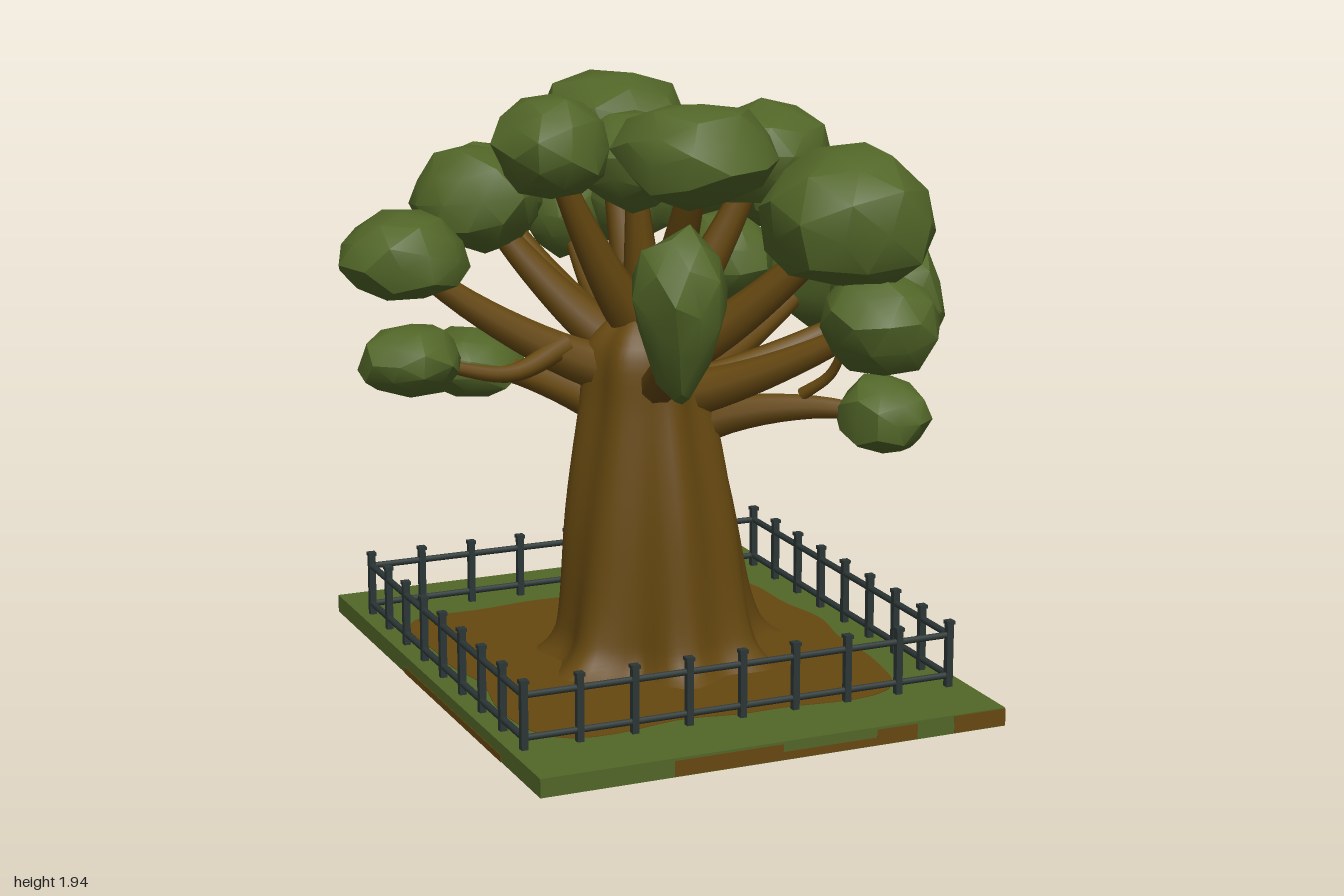
import * as THREE from 'three';
import { mergeVertices, toCreasedNormals } from 'three/addons/utils/BufferGeometryUtils.js';

const mat = (name, color) => Object.assign(new THREE.MeshStandardMaterial({ color }), { name });

function group(parent, name) {
  const g = new THREE.Group();
  g.name = name;
  parent.add(g);
  return g;
}

function add(parent, name, geo, material, x = 0, y = 0, z = 0) {
  const m = new THREE.Mesh(geo, material);
  m.name = name;
  m.position.set(x, y, z);
  parent.add(m);
}

// weld a geometry so it can be shaped by a rule and shaded smoothly
function weld(geo) {
  geo.deleteAttribute('uv');
  geo.deleteAttribute('normal');
  return mergeVertices(geo, 1e-4);
}

// small seeded random source
function seeded(seed) {
  let s = seed * 7919 + 17;
  return () => (s = (s * 16807) % 2147483647) / 2147483647;
}

// chunky leaf clump of given half width and half height; taper narrows the underside
function clumpGeometry(width, height, seed, taper) {
  const rnd = seeded(seed);
  for (let i = 0; i < 5; i++) rnd();
  const geo = weld(new THREE.IcosahedronGeometry(1, 1));
  geo.rotateY(rnd() * 6).rotateX(rnd() * 2);
  const p = geo.attributes.position, v = new THREE.Vector3();
  for (let i = 0; i < p.count; i++) {
    v.fromBufferAttribute(p, i).multiplyScalar(0.93 + rnd() * 0.16);
    const k = 1 - taper * Math.max(0, 0.3 - v.y);
    p.setXYZ(i, v.x * k, v.y, v.z * k);
  }
  geo.center();
  const b = geo.boundingBox.getSize(v).multiplyScalar(0.5);
  geo.scale(width / b.x, height / b.y, width * 1.06 / b.z);
  geo.center();
  return toCreasedNormals(geo, 0.62);
}

// tapered limb along a smooth path
function limbGeometry(points, r0, r1) {
  const curve = new THREE.CatmullRomCurve3(points.map((p) => new THREE.Vector3(...p)));
  const n = 14, sides = 9;
  const geo = new THREE.TubeGeometry(curve, n, 1, sides, false);
  const p = geo.attributes.position, v = new THREE.Vector3();
  for (let i = 0; i <= n; i++) {
    const c = curve.getPointAt(i / n), r = r0 + (r1 - r0) * Math.pow(i / n, 0.7);
    for (let j = 0; j <= sides; j++) {
      const k = i * (sides + 1) + j;
      v.fromBufferAttribute(p, k).sub(c).multiplyScalar(r).add(c);
      p.setXYZ(k, v.x, v.y, v.z);
    }
  }
  return geo;
}

// limb path from the trunk to a clump: low limbs arch up, high ones sag a little
function limbPath(x, y, z) {
  const start = 0.45 + 0.37 * y;
  const bend = THREE.MathUtils.clamp(0.3 * (1.1 - y), -0.06, 0.07);
  return [0, 0.35, 0.7, 1].map((t) => [x * t, start + (y - start) * t + bend * Math.sin(Math.PI * t), z * t]);
}

// fluted trunk with flared roots
function trunkGeometry() {
  const profile = new THREE.SplineCurve([[0.4, 0.05], [0.34, 0.11], [0.31, 0.22], [0.27, 0.55], [0.21, 0.9],
    [0.17, 1.12], [0.01, 1.26]].map((p) => new THREE.Vector2(...p)));
  const geo = weld(new THREE.CylinderGeometry(1, 1, 1, 56, 30, true));
  const p = geo.attributes.position;
  for (let i = 0; i < p.count; i++) {
    const { x: r, y } = profile.getPoint(p.getY(i) + 0.5);
    const a = Math.atan2(p.getZ(i), p.getX(i));
    const flute = 0.08 + 0.13 * Math.exp(-(y - 0.05) * 9);
    const R = r * (1 + flute * (Math.cos(7 * a + y * 1.6) * 0.7 + Math.cos(4 * a - y * 2 + 1) * 0.4));
    p.setXYZ(i, 0.035 - 0.05 * y + R * Math.cos(a), y, 0.01 + R * Math.sin(a));
  }
  geo.computeVertexNormals();
  return geo;
}

// thin soil patch: a wobbly-edged rectangle in the ground plane
function patchGeometry(halfX, halfZ, wobble) {
  const shape = new THREE.Shape(Array.from({ length: 80 }, (_, i) => {
    const a = i / 80 * Math.PI * 2, c = Math.cos(a), s = Math.sin(a);
    const k = Math.pow(c ** 8 + s ** 8, -1 / 8) * (1 + wobble * (Math.sin(5 * a + 1) + 0.6 * Math.sin(11 * a)));
    return new THREE.Vector2(halfX * c * k, halfZ * s * k);
  }));
  return new THREE.ExtrudeGeometry(shape, { depth: 0.003, bevelEnabled: false }).rotateX(-Math.PI / 2);
}

export function createModel() {
  const model = new THREE.Group();
  model.name = 'fencedTree';
  const leaf = mat('leaf green', 0x526628), bark = mat('bark brown', 0x664810), iron = mat('iron grey', 0x2c3636);

  // ground slab with bare soil on top, underneath and along the edges
  const ground = group(model, 'ground');
  add(ground, 'grassSlab', new THREE.BoxGeometry(1.56, 0.06, 1.95), leaf, 0.01, 0.033, 0);
  add(ground, 'soilTop', patchGeometry(0.65, 0.67, 0.025), bark, -0.01, 0.062, 0.03);
  add(ground, 'soilUnderside', patchGeometry(0.7, 0.87, 0.012), bark, -0.03, 0.001, 0.06);
  for (const [x, w, h] of [[-0.16, 0.36, 0.05], [0.2, 0.4, 0.025], [0.41, 0.14, 0.05], [0.7, 0.18, 0.055]])
    add(ground, 'soilFrontEdge', new THREE.BoxGeometry(w, h, 0.004), bark, x, 0.005 + h / 2, 0.975);
  add(ground, 'soilLeftEdge', new THREE.BoxGeometry(0.004, 0.045, 0.05), bark, 0.79, 0.03, 0.95);
  add(ground, 'soilRightEdge', new THREE.BoxGeometry(0.004, 0.022, 0.9), bark, -0.77, 0.014, 0.2);

  // fence: four equal sides of posts joined by two rails
  const fence = group(model, 'fence');
  const half = 0.725;
  const post = new THREE.BoxGeometry(0.022, 0.22, 0.022), cap = new THREE.BoxGeometry(0.028, 0.012, 0.028);
  const rail = new THREE.CylinderGeometry(0.011, 0.011, half * 2, 8).rotateZ(Math.PI / 2);
  for (let s = 0; s < 4; s++) {
    const side = group(fence, 'fenceSide');
    side.rotation.y = s * Math.PI / 2;
    for (let i = 0; i < 8; i++) {
      const x = half * (i / 4 - 1);
      add(side, 'post', post, iron, x, 0.165, half);
      add(side, 'postCap', cap, iron, x, 0.277, half);
    }
    for (const y of [0.1, 0.235]) add(side, 'rail', rail, iron, 0, y, half);
  }

  // trunk, and two twigs that fork from the lower limbs
  const wood = group(model, 'wood');
  add(wood, 'trunk', trunkGeometry(), bark);
  add(wood, 'twig', limbGeometry([[-0.28, 1.11, -0.04], [-0.49, 1.05, 0.02], [-0.74, 1.1, 0]], 0.045, 0.018), bark);
  add(wood, 'twig', limbGeometry([[0.42, 0.95, 0.27], [0.48, 1.02, 0.34], [0.5, 1.12, 0.4]], 0.022, 0.014), bark);

  // leaf clumps, each carried by its own limb
  const crown = group(model, 'crown');
  let seed = 3;
  const clump = (x, y, z, width, height, taper = 0) =>
    add(crown, 'leafClump', clumpGeometry(width, height, seed++, taper), leaf, x, y, z);
  const limbed = (x, y, z, width, height, taper) => {
    clump(x, y, z, width, height, taper);
    add(wood, 'limb', limbGeometry(limbPath(x, y, z), 0.1, 0.15 * width), bark);
  };

  // wide upper canopy: x, y, z, half width, half height
  for (const c of [[-0.48, 1.56, -0.3, 0.21, 0.175], [-0.33, 1.52, -0.62, 0.2, 0.18], [-0.37, 1.775, 0.06, 0.19, 0.16],
    [-0.04, 1.78, 0.47, 0.24, 0.165], [0, 1.77, -0.32, 0.265, 0.175], [-0.06, 1.7, 0.02, 0.18, 0.16],
    [0.36, 1.72, 0.08, 0.215, 0.165], [0.52, 1.61, -0.31, 0.28, 0.205], [0.49, 1.545, 0.42, 0.27, 0.225]]) limbed(...c);

  // lower skirt of clumps
  for (const c of [[-0.79, 1.42, -0.16, 0.21, 0.14], [0.8, 1.22, -0.36, 0.2, 0.2], [0.57, 1.23, 0.51, 0.19, 0.175],
    [0.8, 1.205, 0.13, 0.195, 0.215], [0.645, 0.89, 0.4, 0.145, 0.13], [-0.43, 0.965, -0.54, 0.19, 0.125],
    [-0.02, 1.42, -0.7, 0.14, 0.16], [0.2, 1.44, -0.68, 0.12, 0.14]]) limbed(...c);
  limbed(-0.12, 1.3, 0.52, 0.16, 0.28, 0.45);

  // small fillers
  clump(-0.81, 1.115, -0.01, 0.16, 0.115);
  clump(0.17, 1.48, -0.53, 0.14, 0.15);
  clump(0.33, 1.34, -0.13, 0.16, 0.15);
  return model;
}
